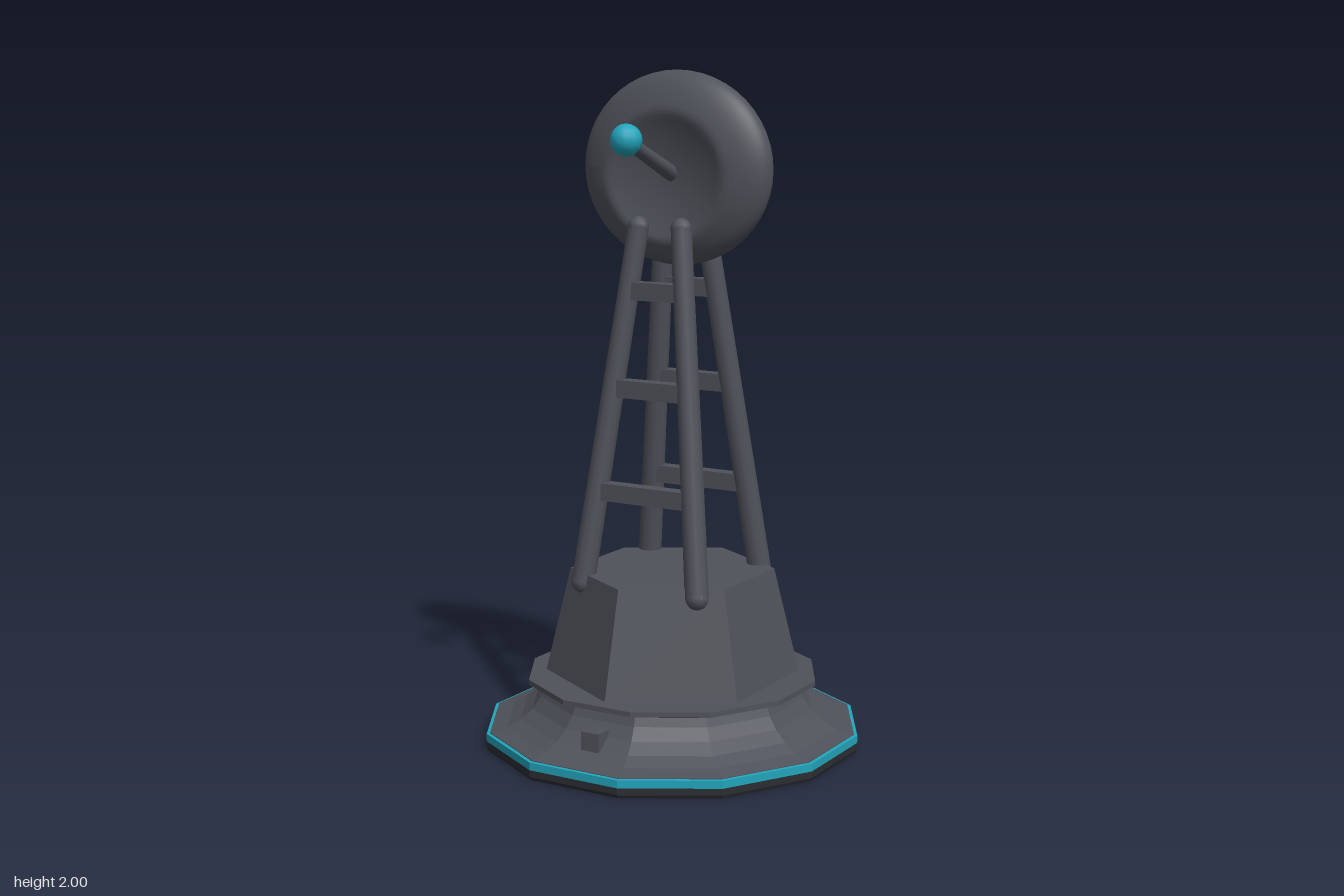
import * as THREE from 'three';

const grey = new THREE.MeshStandardMaterial({ color: 0x4f525a });
grey.name = 'gunmetal grey';
const dark = new THREE.MeshStandardMaterial({ color: 0x2b2d32 });
dark.name = 'dark footing';
const teal = new THREE.MeshStandardMaterial({ color: 0x22a4bb });
teal.name = 'teal glow';

function flat(geometry) {
  const g = geometry.index ? geometry.toNonIndexed() : geometry;
  g.computeVertexNormals();
  return g;
}

// Twelve-sided turned part; radii are given to the middle of the flats
function twelveSided(profile) {
  const k = 1 / Math.cos(Math.PI / 12);
  const points = profile.map(([r, y]) => new THREE.Vector2(r * k, y));
  return flat(new THREE.LatheGeometry(points, 12).rotateY(Math.PI / 12));
}

// Tapered round bar from a to b
function bar(a, b, ra, rb, sides = 10) {
  const dir = b.clone().sub(a);
  const g = new THREE.CylinderGeometry(rb, ra, dir.length(), sides);
  g.applyQuaternion(new THREE.Quaternion().setFromUnitVectors(new THREE.Vector3(0, 1, 0), dir.normalize()));
  const mid = a.clone().add(b).multiplyScalar(0.5);
  return g.translate(mid.x, mid.y, mid.z);
}

// Flattened dish with a shallow bowl sunk into its front
function dishGeometry() {
  const g = new THREE.SphereGeometry(1, 48, 48).rotateX(Math.PI / 2).scale(0.313, 0.283, 0.102);
  const p = g.attributes.position;
  for (let i = 0; i < p.count; i++) {
    const z = p.getZ(i);
    if (z <= 0) continue;
    const r2 = p.getX(i) ** 2 + (p.getY(i) + 0.04) ** 2;
    p.setZ(i, Math.min(z, Math.max(0.04 + 1.0 * r2, 0)));
  }
  g.computeVertexNormals();
  return g;
}

export function createModel() {
  const model = new THREE.Group();
  model.name = 'dishTower';
  const add = (name, geometry, material, parent = model) => {
    const mesh = new THREE.Mesh(geometry, material);
    mesh.name = name;
    parent.add(mesh);
    return mesh;
  };

  // Base
  add('footing', twelveSided([[0, 0], [0.545, 0], [0.55, 0.01], [0.55, 0.03], [0, 0.03]]), dark);
  add('glowStripe', twelveSided([[0.53, 0.03], [0.55, 0.03], [0.55, 0.053], [0.53, 0.055]]), teal);
  add('flaredBase', twelveSided([
    [0.54, 0.03], [0.54, 0.056], [0.49, 0.068], [0.45, 0.09], [0.415, 0.12], [0.39, 0.155],
    [0.38, 0.18], [0.425, 0.195], [0.425, 0.21], [0, 0.21],
  ]), grey);
  for (const s of [-1, 1]) {
    add('baseLug', new THREE.BoxGeometry(0.06, 0.06, 0.06).translate(0, 0.11, s * 0.43), grey);
  }

  // Six-sided plinth
  add('plinth', flat(new THREE.CylinderGeometry(0.305, 0.383, 0.325, 6).translate(0, 0.3625, 0)), grey);

  // Four leaning legs with rounded feet
  const foot = new THREE.Vector3(0.195, 0.5, 0.19);
  const head = new THREE.Vector3(0.072, 1.55, 0.072);
  for (const sx of [-1, 1]) {
    for (const sz of [-1, 1]) {
      const side = new THREE.Vector3(sx, 1, sz);
      const a = foot.clone().multiply(side);
      const b = head.clone().multiply(side);
      const leg = new THREE.Group();
      leg.name = (sz > 0 ? 'front' : 'back') + (sx > 0 ? 'Left' : 'Right') + 'Leg';
      model.add(leg);
      add('shaft', bar(a, b, 0.036, 0.031), grey, leg);
      add('foot', new THREE.SphereGeometry(0.036, 10, 8).translate(a.x, a.y, a.z), grey, leg);
      add('head', new THREE.SphereGeometry(0.031, 10, 8).translate(b.x, b.y, b.z), grey, leg);
    }
  }

  // Rungs across the front and back pairs of legs
  for (const y of [0.775, 1.08, 1.365]) {
    const p = foot.clone().lerp(head, (y - foot.y) / (head.y - foot.y));
    for (const s of [-1, 1]) {
      add(s > 0 ? 'frontRung' : 'backRung', new THREE.BoxGeometry(2 * p.x, 0.052, 0.045).translate(0, y, s * p.z), grey);
    }
  }

  // Dish with feed arm and glowing tip
  const dish = add('dish', dishGeometry(), grey);
  dish.position.set(0, 1.717, -0.028);
  add('feedArm', bar(new THREE.Vector3(0, 1.7, 0), new THREE.Vector3(0, 1.8, 0.24), 0.024, 0.02, 8), grey);
  add('feedTip', new THREE.SphereGeometry(0.046, 12, 10).translate(0, 1.807, 0.253), teal);

  return model;
}
